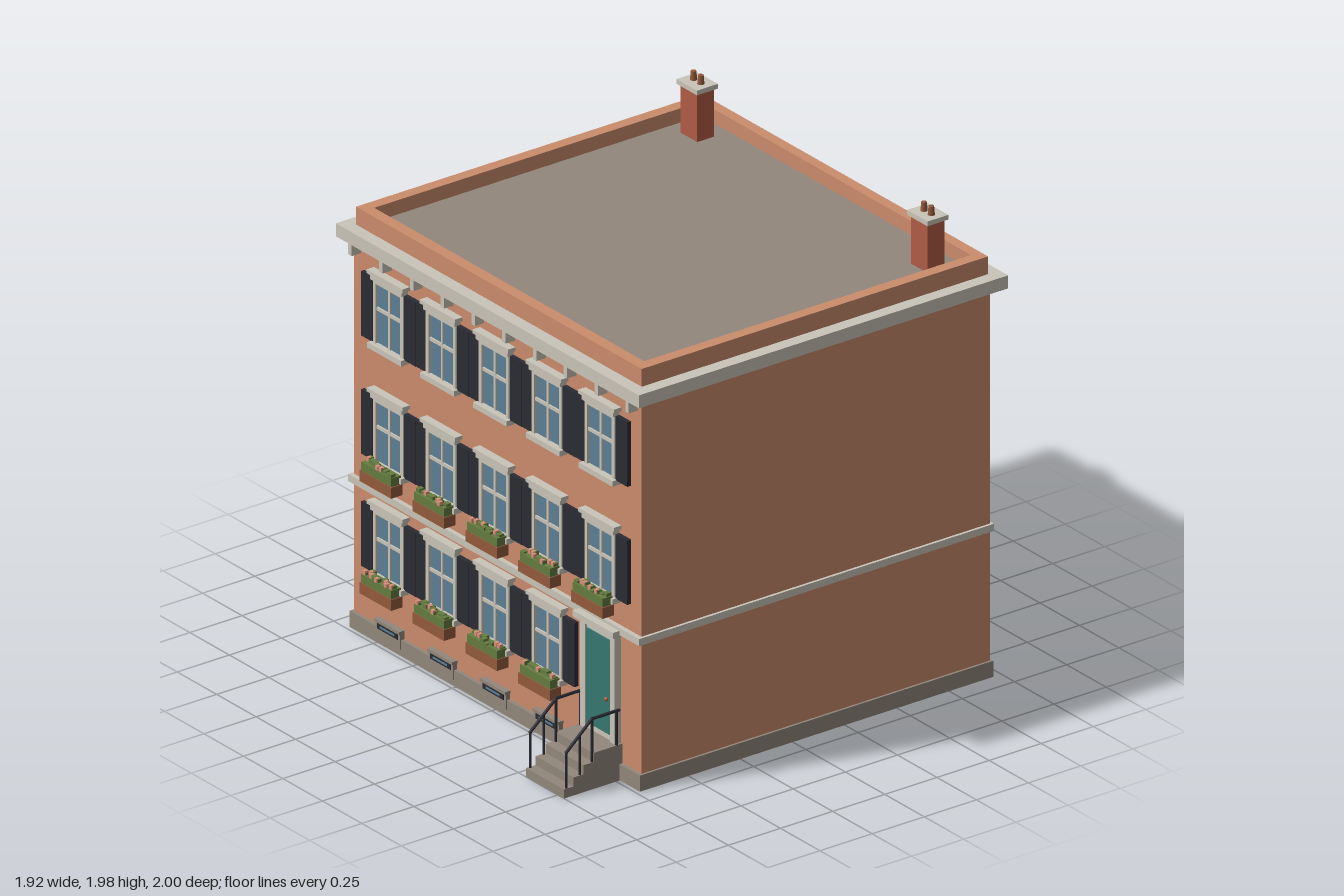
import * as THREE from 'three';

const mat = (name, color, opts = {}) => {
  const m = new THREE.MeshStandardMaterial({ color, ...opts });
  m.name = name;
  return m;
};

export function createModel() {
  const wall = mat('wall render', 0xcb8c6c);
  const trim = mat('pale trim', 0xcac5b9);
  const stone = mat('grey stone', 0x92877c);
  const dark = mat('dark paint', 0x2b2b34);
  const glass = mat('window glass', 0x5c8094);
  const teal = mat('door paint', 0x36786f);
  const leaf = mat('leaves', 0x647d3f);
  const wood = mat('terracotta', 0x935a3c);
  const brick = mat('chimney brick', 0xb35c47);
  const petal = mat('petals', 0xdb8f7c);

  const house = new THREE.Group();
  house.name = 'townHouse';

  // box from its minimum and maximum corners
  const box = (parent, name, m, x0, x1, y0, y1, z0, z1) => {
    const mesh = new THREE.Mesh(new THREE.BoxGeometry(x1 - x0, y1 - y0, z1 - z0), m);
    mesh.position.set((x0 + x1) / 2, (y0 + y1) / 2, (z0 + z1) / 2);
    mesh.name = name;
    parent.add(mesh);
    return mesh;
  };
  const group = (name, x = 0, y = 0, z = 0) => {
    const g = new THREE.Group();
    g.name = name;
    g.position.set(x, y, z);
    house.add(g);
    return g;
  };
  let seed = 7;
  const rand = () => (seed = (seed * 16807) % 2147483647) / 2147483647;

  const FRONT = 0.72;

  // main volume and horizontal bands
  box(house, 'walls', wall, -0.91, 0.91, 0, 1.7, -0.95, FRONT);
  box(house, 'plinth', stone, -0.92, 0.92, 0.002, 0.07, -0.96, 0.735);
  box(house, 'stringCourse', trim, -0.922, 0.922, 0.62, 0.65, -0.96, 0.74);
  box(house, 'cornice', trim, -0.96, 0.96, 1.65, 1.705, -1, 0.77);
  box(house, 'flatRoof', stone, -0.86, 0.86, 1.7, 1.72, -0.905, 0.67);

  // parapet ring round the roof
  const rect = (path, x, z0, z1) => {
    path.moveTo(-x, z0);
    path.lineTo(x, z0);
    path.lineTo(x, z1);
    path.lineTo(-x, z1);
    path.closePath();
    return path;
  };
  const ring = rect(new THREE.Shape(), 0.905, -0.715, 0.945);
  ring.holes.push(rect(new THREE.Path(), 0.855, -0.665, 0.9));
  const parapet = new THREE.Mesh(
    new THREE.ExtrudeGeometry(ring, { depth: 0.08, bevelEnabled: false }), wall);
  parapet.rotation.x = -Math.PI / 2;
  parapet.position.y = 1.7;
  parapet.name = 'parapet';
  house.add(parapet);

  // cornice brackets
  for (let i = 0; i < 10; i++) {
    const x = -0.877 + i * 0.195;
    box(house, 'corniceBracket', trim, x - 0.011, x + 0.011, 1.6, 1.65, FRONT, 0.765);
  }

  // chimneys with cap and two pots
  for (const s of [-1, 1]) {
    const c = group('chimney', s * 0.73, 0, -0.788);
    box(c, 'chimneyStack', brick, -0.053, 0.053, 1.71, 1.925, -0.04, 0.04);
    box(c, 'chimneyCap', trim, -0.065, 0.065, 1.925, 1.945, -0.05, 0.05);
    for (const p of [-0.023, 0.023]) {
      const pot = new THREE.Mesh(new THREE.CylinderGeometry(0.011, 0.014, 0.037, 12), wood);
      pot.position.set(p, 1.9635, 0);
      pot.name = 'chimneyPot';
      c.add(pot);
    }
  }

  // sash window with shutters; origin at the sill top on the wall face
  const addWindow = (x, y) => {
    const w = group('window', x, y, FRONT);
    box(w, 'glass', glass, -0.085, 0.085, 0, 0.265, 0, 0.008);
    for (const s of [-1, 1]) {
      box(w, 'frameSide', trim, s * 0.0865 - 0.0085, s * 0.0865 + 0.0085, 0, 0.265, 0, 0.02);
      box(w, 'shutter', dark, s * 0.138 - 0.037, s * 0.138 + 0.037, 0, 0.272, 0, 0.018 + s * 0.001);
    }
    box(w, 'frameTop', trim, -0.095, 0.095, 0.255, 0.275, 0, 0.02);
    box(w, 'verticalBar', trim, -0.006, 0.006, 0, 0.265, 0, 0.015);
    box(w, 'horizontalBar', trim, -0.085, 0.085, 0.142, 0.156, 0, 0.015);
    box(w, 'lintel', trim, -0.1, 0.1, 0.27, 0.295, 0, 0.03);
    box(w, 'lintelCap', trim, -0.113, 0.113, 0.292, 0.308, 0, 0.036);
    box(w, 'sill', trim, -0.107, 0.107, -0.02, 0.003, 0, 0.038);
  };

  // planted box hung below a window
  const addPlanter = (x, y) => {
    const p = group('windowBox', x, y, FRONT);
    box(p, 'planter', wood, -0.1, 0.1, -0.07, -0.024, 0.025, 0.08);
    box(p, 'foliage', leaf, -0.095, 0.095, -0.026, 0.012, 0.03, 0.076);
    for (let i = 0; i < 9; i++) {
      const fx = -0.083 + i * 0.0205;
      const fz = 0.042 + rand() * 0.024;
      const h = 0.017 + rand() * 0.012;
      box(p, 'leafTuft', leaf, fx - 0.011, fx + 0.011, -0.02, h, fz - 0.011, fz + 0.011);
      if (rand() < 0.5) {
        box(p, 'flower', petal, fx - 0.008, fx + 0.008, 0.012, 0.029, fz - 0.002, fz + 0.014);
      }
    }
  };

  const columns = [-0.67, -0.335, 0, 0.335, 0.67];
  [1.265, 0.765, 0.29].forEach((y, row) => {
    columns.slice(0, row === 2 ? 4 : 5).forEach((x) => {
      addWindow(x, y);
      if (row > 0) addPlanter(x, y);
    });
  });

  // basement lights set in stone surrounds
  for (const x of columns.slice(0, 4)) {
    const b = group('basementLight', x, 0, FRONT);
    box(b, 'surround', stone, -0.078, 0.078, 0.03, 0.105, 0, 0.02);
    box(b, 'surroundHead', stone, -0.08, 0.08, 0.094, 0.107, 0, 0.026);
    box(b, 'opening', dark, -0.065, 0.065, 0.068, 0.094, 0.018, 0.023);
    box(b, 'basementGlass', glass, -0.045, 0.045, 0.076, 0.084, 0.02, 0.025);
  }

  // front door
  const door = group('frontDoor', 0.67, 0, FRONT);
  box(door, 'doorSurround', trim, -0.11, 0.11, 0.15, 0.615, 0, 0.02);
  for (const s of [-1, 1]) {
    box(door, 'doorPilaster', trim, s * 0.0945 - 0.0155, s * 0.0945 + 0.0155, 0.15, 0.615, 0, 0.03);
  }
  box(door, 'doorHead', trim, -0.128, 0.128, 0.612, 0.638, 0, 0.052);
  box(door, 'doorLeaf', teal, -0.077, 0.077, 0.178, 0.577, 0.018, 0.026);
  const knob = new THREE.Mesh(new THREE.SphereGeometry(0.009, 10, 8), brick);
  knob.position.set(0.056, 0.325, 0.03);
  knob.name = 'doorKnob';
  door.add(knob);

  // entrance steps
  [[0.152, 0.86], [0.114, 0.907], [0.076, 0.955], [0.038, 1]].forEach(([top, z], i) => {
    box(house, 'step', stone, 0.55, 0.79, 0, top, i ? 0.85 - i * 0.001 : FRONT, z);
  });

  // railings either side of the steps
  const rod = (parent, name, a, b, r) => {
    const d = b.clone().sub(a);
    const m = new THREE.Mesh(new THREE.CylinderGeometry(r, r, d.length(), 8), dark);
    m.position.copy(a).add(b).multiplyScalar(0.5);
    m.quaternion.setFromUnitVectors(new THREE.Vector3(0, 1, 0), d.normalize());
    m.name = name;
    parent.add(m);
  };
  const V = (y, z) => new THREE.Vector3(0, y, z);
  for (const x of [0.556, 0.784]) {
    const r = group('railing', x);
    rod(r, 'handrail', V(0.296, 0.73), V(0.296, 0.865), 0.0065);
    rod(r, 'slopingRail', V(0.296, 0.862), V(0.186, 0.988), 0.0065);
    for (const [z, y0, y1] of [[0.745, 0.15, 0.298], [0.862, 0.11, 0.298], [0.92, 0.07, 0.246], [0.985, 0.03, 0.19]]) {
      rod(r, 'railPost', V(y0, z), V(y1, z), 0.0055);
    }
  }

  return house;
}
